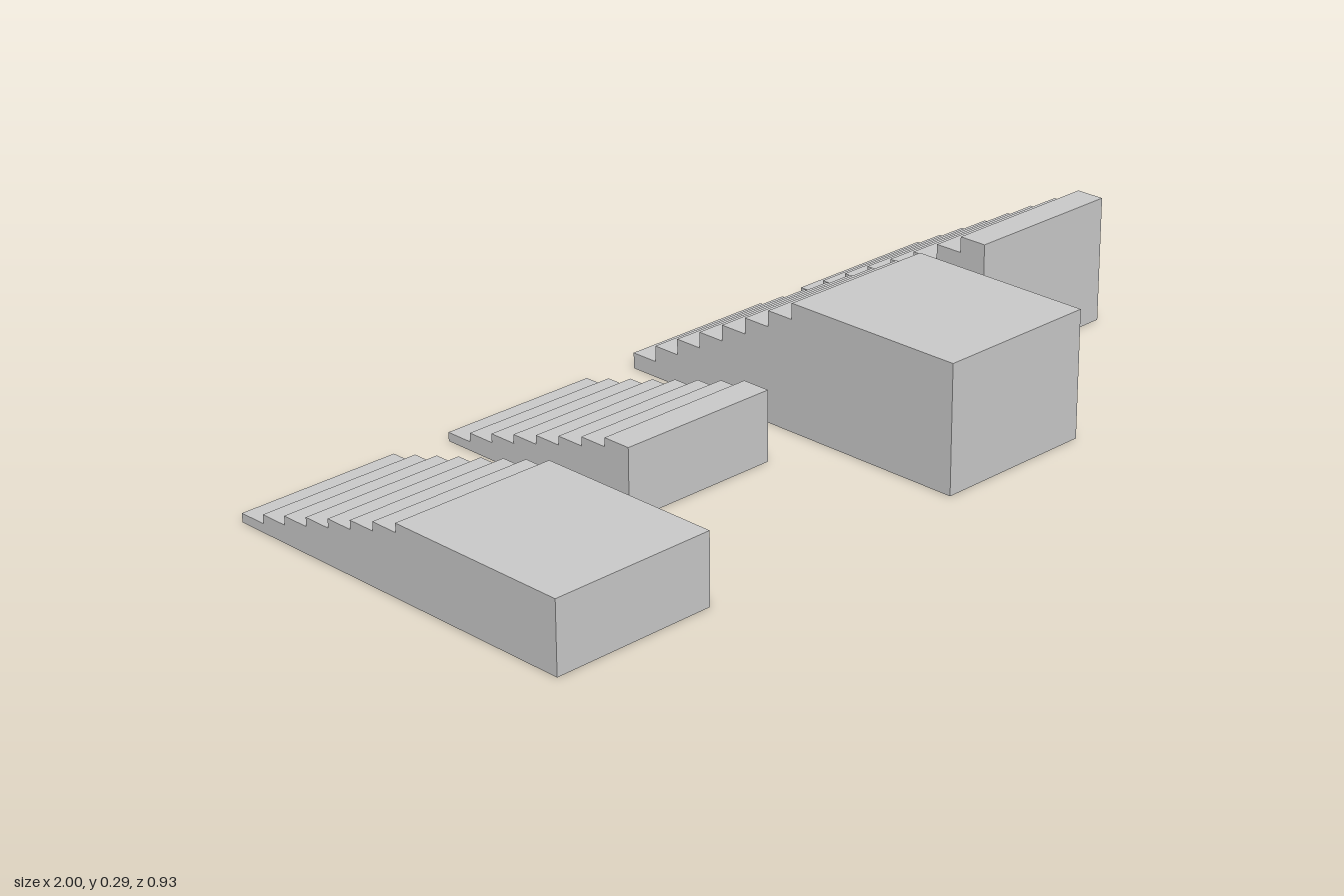
import * as THREE from 'three';

const STEPS = 8;
const WIDTH = 0.395;
const BACK = -0.463;      // z of the lowest riser
const STAIR_END = 0.084;  // z where the flight ends
const LANDING_END = 0.463;

// One solid flight rising towards +z, its last tread running on to z = end
function makeStair(name, x, height, end) {
  const run = (STAIR_END - BACK) / STEPS;
  const rise = height / STEPS;

  // Side profile, drawn with u = -z
  const profile = new THREE.Shape();
  profile.moveTo(-end, 0);
  profile.lineTo(-BACK, 0);
  for (let i = 0; i < STEPS; i++) {
    const front = i === STEPS - 1 ? end : BACK + (i + 1) * run;
    profile.lineTo(-(BACK + i * run), (i + 1) * rise);
    profile.lineTo(-front, (i + 1) * rise);
  }
  profile.closePath();

  // The first riser is vertical because the profile starts at u = -BACK
  const geometry = new THREE.ExtrudeGeometry(profile, { depth: WIDTH, bevelEnabled: false });
  geometry.rotateY(Math.PI / 2);
  const stair = new THREE.Mesh(
    geometry,
    new THREE.MeshStandardMaterial({ color: 0xcccccc, flatShading: true })
  );
  stair.name = name;
  stair.position.x = x;
  return stair;
}

export function createModel() {
  const group = new THREE.Group();
  group.name = 'stairs';

  // Low and tall flights, each with and without a landing
  const flights = [
    ['lowStairWithLanding', -1, 0.162, LANDING_END],
    ['lowStair', -0.456, 0.162, STAIR_END],
    ['tallStairWithLanding', 0.079, 0.293, LANDING_END],
    ['tallStair', 0.605, 0.293, STAIR_END],
  ];
  for (const flight of flights) group.add(makeStair(...flight));
  return group;
}
